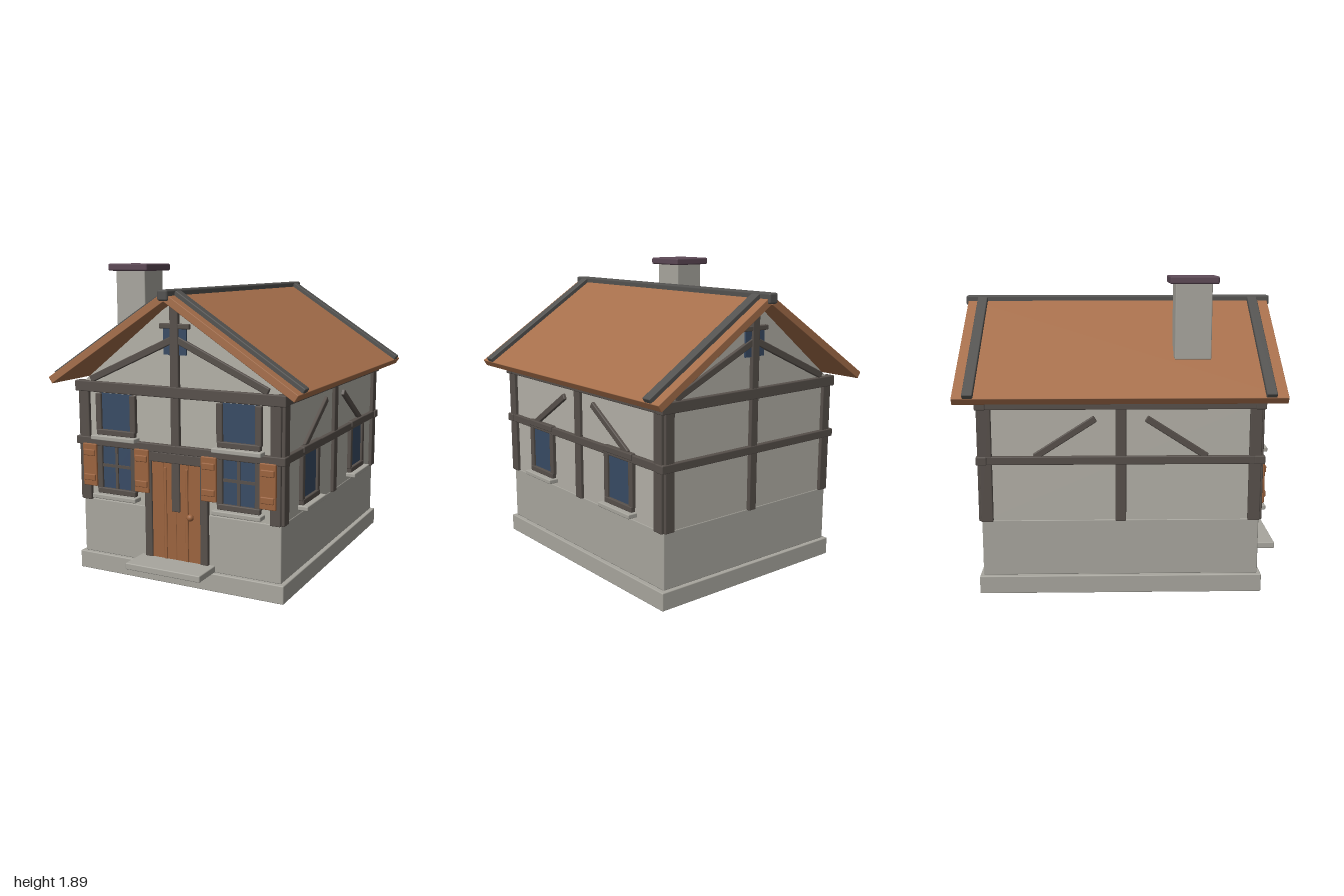
import * as THREE from 'three';
import { RoundedBoxGeometry } from 'three/addons/geometries/RoundedBoxGeometry.js';

const material = (name, color) => Object.assign(new THREE.MeshStandardMaterial({ color }), { name });

export function createModel() {
  const plaster = material('plaster', 0xb3b0a7);
  const stone = material('stone', 0xa8a69e);
  const timber = material('timber', 0x57504b);
  const ridgeWood = material('ridge timber', 0x535250);
  const tile = material('roof tile', 0xa66f4b);
  const wood = material('door wood', 0x9b633e);
  const glass = material('glass', 0x384b64);
  const capMat = material('chimney cap', 0x5c4855);

  const house = new THREE.Group();
  house.name = 'house';

  // Box given by its limits, with slightly softened edges
  const box = (parent, name, mat, x0, x1, y0, y1, z0, z1, r = 0.006) => {
    const w = x1 - x0, h = y1 - y0, d = z1 - z0;
    const geo = r ? new RoundedBoxGeometry(w, h, d, 1, r) : new THREE.BoxGeometry(w, h, d);
    const mesh = new THREE.Mesh(geo, mat);
    mesh.position.set((x0 + x1) / 2, (y0 + y1) / 2, (z0 + z1) / 2);
    mesh.name = name;
    parent.add(mesh);
    return mesh;
  };

  // Slanted timber between two points on a wall
  const brace = (parent, name, x0, y0, x1, y1, width, depth) => {
    const len = Math.hypot(x1 - x0, y1 - y0);
    const mesh = box(parent, name, timber, -len / 2, len / 2, -width / 2, width / 2, -0.02, depth);
    mesh.position.x = (x0 + x1) / 2;
    mesh.position.y = (y0 + y1) / 2;
    mesh.rotation.z = Math.atan2(y1 - y0, x1 - x0);
  };

  // Wall frame: local z points outwards, z = 0 is the wall surface
  const facade = (name, x, z, turn) => {
    const g = new THREE.Group();
    g.name = name;
    g.position.set(x, 0, z);
    g.rotation.y = turn;
    house.add(g);
    return g;
  };

  // Foundation, stone storey, plaster walls with gables
  box(house, 'foundation', stone, -0.695, 0.695, 0, 0.11, -0.872, 0.832);
  box(house, 'stoneWall', stone, -0.67, 0.67, 0.11, 0.455, -0.85, 0.81);
  const outline = new THREE.Shape([[-0.667, 0.45], [0.667, 0.45], [0.667, 1.175], [0, 1.7], [-0.667, 1.175]]
    .map(([x, y]) => new THREE.Vector2(x, y)));
  const walls = new THREE.Mesh(new THREE.ExtrudeGeometry(outline, { depth: 1.654, bevelEnabled: false }), plaster);
  walls.position.z = -0.847;
  walls.name = 'upperWalls';
  house.add(walls);

  // Facades
  const front = facade('frontFacade', 0, 0.81, 0);
  const back = facade('backFacade', 0, -0.85, Math.PI);
  const left = facade('leftFacade', 0.67, -0.02, Math.PI / 2);
  const right = facade('rightFacade', -0.67, -0.02, -Math.PI / 2);

  // Gable walls: beams, posts, braces and attic window
  for (const f of [front, back]) {
    box(f, 'topBeam', timber, -0.7, 0.7, 1.13, 1.195, -0.04, 0.024);
    box(f, 'middleBeam', timber, -0.7, 0.7, 0.8, 0.85, -0.04, 0.024);
    box(f, 'centrePost', timber, -0.028, 0.028, 0.45, 1.665, -0.02, 0.021);
    box(f, 'atticGlass', glass, -0.075, 0.075, 1.38, 1.53, -0.01, 0.008, 0);
    box(f, 'atticLintel', timber, -0.1, 0.1, 1.53, 1.56, -0.02, 0.018);
    for (const s of [-1, 1]) {
      box(f, 'cornerPost', timber, s * 0.638 - 0.033, s * 0.638 + 0.033, 0.45, 1.195, -0.03, 0.018);
      brace(f, 'gableBrace', s * 0.59, 1.205, 0, 1.475, 0.042, 0.016);
    }
  }

  // Long walls: beams, posts and braces
  for (const f of [left, right]) {
    box(f, 'topBeam', timber, -0.848, 0.848, 1.13, 1.185, -0.04, 0.022);
    box(f, 'middleBeam', timber, -0.848, 0.848, 0.8, 0.85, -0.04, 0.022);
    box(f, 'centrePost', timber, -0.032, 0.032, 0.45, 1.14, -0.02, 0.018);
    for (const s of [-1, 1]) {
      box(f, 'cornerPost', timber, s * 0.797 - 0.036, s * 0.797 + 0.036, 0.45, 1.185, -0.03, 0.02);
      brace(f, 'wallBrace', s * 0.51, 0.845, s * 0.15, 1.075, 0.04, 0.016);
    }
  }

  // Window: glass between jambs, with bottom rail and stone sill
  const makeWindow = (parent, name, x, y0, y1) => {
    const g = new THREE.Group();
    g.name = name;
    g.position.x = x;
    parent.add(g);
    box(g, 'glass', glass, -0.11, 0.11, y0, y1, -0.01, 0.008, 0);
    for (const s of [-1, 1]) box(g, 'jamb', timber, s * 0.121 - 0.02, s * 0.121 + 0.02, y0 - 0.01, y1, -0.02, 0.022);
    box(g, 'bottomRail', timber, -0.135, 0.135, y0 - 0.036, y0, -0.02, 0.026);
    box(g, 'sill', stone, -0.155, 0.155, y0 - 0.062, y0 - 0.034, -0.02, 0.06);
    return g;
  };

  for (const s of [-1, 1]) {
    // Upper front windows
    makeWindow(front, 'upperWindow', s * 0.412, 0.905, 1.125);

    // Lower front windows with glazing bars and shutters
    const w = makeWindow(front, 'lowerWindow', s * 0.412, 0.54, 0.805);
    box(w, 'verticalBar', timber, -0.009, 0.009, 0.54, 0.8, 0, 0.016, 0);
    box(w, 'horizontalBar', timber, -0.105, 0.105, 0.672, 0.69, 0, 0.015, 0);
    for (const t of [-1, 1]) {
      const c = t * 0.186;
      box(w, 'shutter', wood, c - 0.05, c + 0.05, 0.545, 0.81, 0, 0.034);
      for (const y of [0.6, 0.755]) box(w, 'shutterBatten', wood, c - 0.042, c + 0.042, y - 0.02, y + 0.02, 0.02, 0.043);
    }

    // Long wall windows with header
    const v = makeWindow(left, 'sideWindow', s * 0.428, 0.54, 0.805);
    box(v, 'header', timber, -0.142, 0.142, 0.818, 0.857, -0.02, 0.03);

    // Door frame posts
    box(front, 'doorPost', timber, s * 0.188 - 0.025, s * 0.188 + 0.025, 0.11, 0.81, -0.02, 0.022);
  }

  // Door planks, battens, lintel, knob and step
  for (let i = 0; i < 4; i++) {
    const x = -0.165 + i * 0.0825;
    box(front, 'doorPlank', wood, x, x + 0.0825, 0.14, 0.745, -0.02, 0.012, 0.003);
  }
  for (const s of [-1, 1]) box(front, 'doorBatten', wood, s * 0.072 - 0.009, s * 0.072 + 0.009, 0.15, 0.715, 0, 0.018, 0.004);
  box(front, 'doorLintel', timber, -0.21, 0.21, 0.742, 0.803, -0.02, 0.023);
  const knob = new THREE.Mesh(new THREE.SphereGeometry(0.021, 16, 12), wood);
  knob.position.set(0.1, 0.43, 0.024);
  knob.name = 'doorKnob';
  front.add(knob);
  box(house, 'doorStep', stone, -0.25, 0.25, 0.112, 0.152, 0.78, 1);

  // Roof slopes with a timber strip near each gable end
  const pitch = Math.atan2(0.508, 0.79);
  for (const s of [-1, 1]) {
    const slope = new THREE.Group();
    slope.name = s > 0 ? 'leftRoofSlope' : 'rightRoofSlope';
    slope.position.y = 1.688;
    slope.rotation.z = -s * pitch;
    house.add(slope);
    const span = (len) => (s > 0 ? [0, len] : [-len, 0]);
    box(slope, 'roofPanel', tile, ...span(0.94), 0, 0.046, -0.985, 0.938, 0.004);
    for (const z of [-0.892, 0.838]) box(slope, 'gableStrip', ridgeWood, ...span(0.937), 0.04, 0.073, z - 0.031, z + 0.031);
  }
  box(house, 'ridgeBeam', ridgeWood, -0.034, 0.034, 1.693, 1.755, -1, 0.952, 0.012);

  // Chimney
  box(house, 'chimney', stone, -0.595, -0.385, 1.41, 1.855, 0.3, 0.515);
  box(house, 'chimneyCap', capMat, -0.632, -0.348, 1.85, 1.895, 0.265, 0.55, 0.01);

  return house;
}
